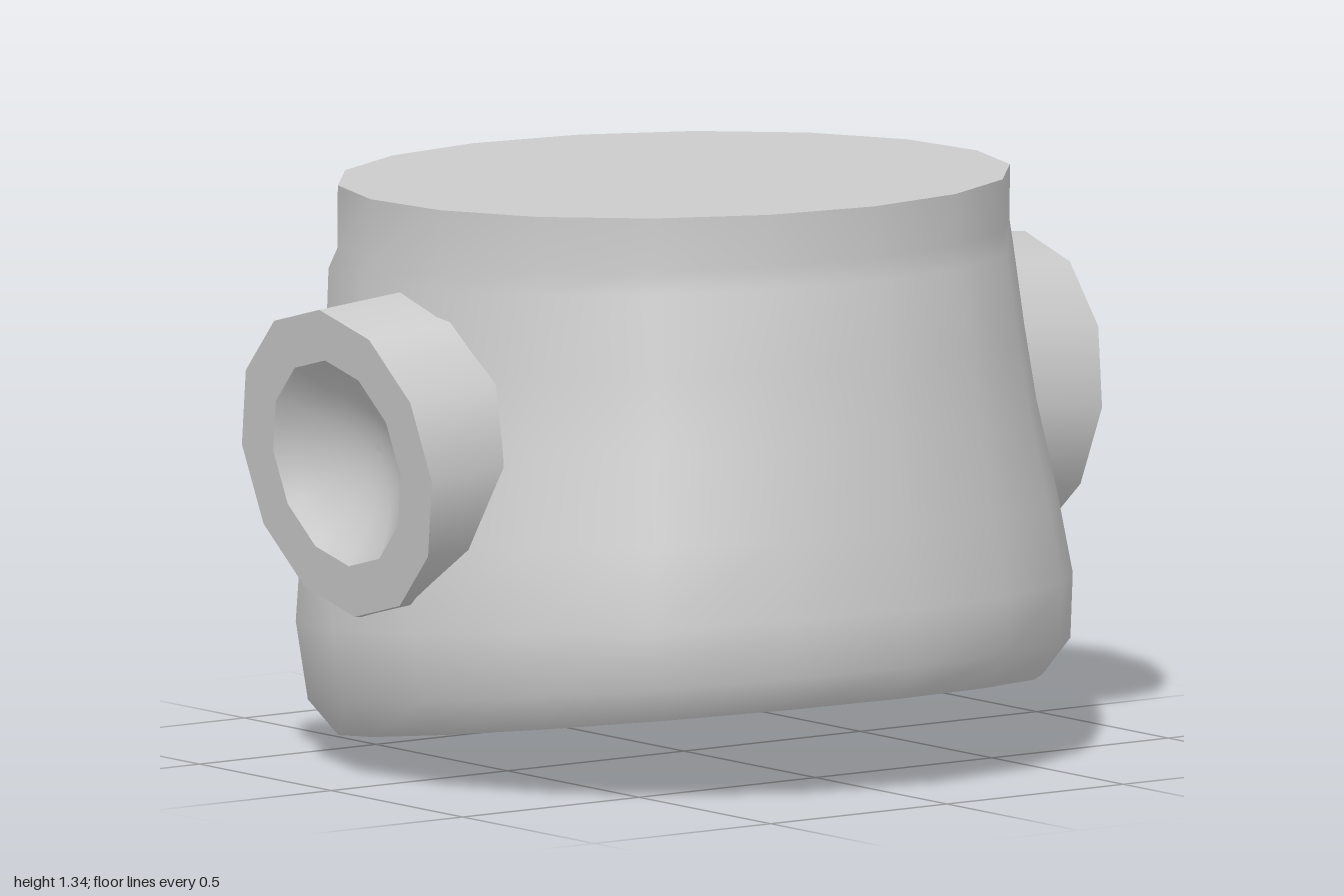
import * as THREE from 'three';

const SIDES = 18;

// Tilted body rings: [half width, front z, front y, back z, back y, flattened sides]
const RINGS = [
  [0.81, 0.82, 0.22, -0.77, 0.00],
  [0.88, 0.875, 0.30, -0.835, 0.085],
  [0.90, 0.865, 0.43, -0.862, 0.28],
  [0.868, 0.837, 0.61, -0.87, 0.50, true],
  [0.822, 0.80, 0.81, -0.86, 0.74, true],
  [0.797, 0.77, 0.98, -0.838, 0.92, true],
  [0.782, 0.735, 1.17, -0.835, 1.10],
  [0.772, 0.722, 1.22, -0.80, 1.15],
  [0.772, 0.724, 1.34, -0.80, 1.30],
];

function ringPoints([rx, zf, yf, zb, yb, flat]) {
  const pts = [];
  const edge = Math.sin(THREE.MathUtils.degToRad(80));
  for (let i = 0; i < SIDES; i++) {
    const a = (i / SIDES) * Math.PI * 2;
    let s = Math.sin(a), c = Math.cos(a);
    // behind the sockets the wall is drawn out to a flat pad
    if (flat && Math.abs(c) < 0.4) {
      s = Math.sign(s) * edge;
      c *= 1.15;
    }
    const t = (1 + c) / 2;
    pts.push([rx * s, yb + (yf - yb) * t, zb + (zf - zb) * t]);
  }
  return pts;
}

function makeGeometry(points, index) {
  const g = new THREE.BufferGeometry();
  g.setAttribute('position', new THREE.Float32BufferAttribute(points.flat(), 3));
  g.setIndex(index);
  g.computeVertexNormals();
  return g;
}

// Smooth wall through all the rings
function wallGeometry() {
  const index = [];
  for (let r = 0; r < RINGS.length - 1; r++) {
    for (let i = 0; i < SIDES; i++) {
      const j = (i + 1) % SIDES;
      const a = r * SIDES + i, b = r * SIDES + j;
      const c = b + SIDES, d = a + SIDES;
      index.push(a, b, c, a, c, d);
    }
  }
  return makeGeometry(RINGS.flatMap(ringPoints), index);
}

// Flat fan closing one ring
function capGeometry(ring, up) {
  const index = [];
  for (let i = 1; i < SIDES - 1; i++) index.push(0, up ? i : i + 1, up ? i + 1 : i);
  return makeGeometry(ringPoints(ring), index);
}

const lathe = (pts) => new THREE.LatheGeometry(pts.map(([r, y]) => new THREE.Vector2(r, y)), 12);

// Socket tube: a wedge, long at the top and short at the bottom, whose inner
// end is curved to sink into the sloping round wall
function tubeGeometry(radius) {
  const g = lathe([[radius, -1], [radius, 0]]);
  const p = g.attributes.position;
  for (let i = 0; i < p.count; i++) {
    if (p.getY(i) > -0.5) continue;
    const x = p.getX(i), z = p.getZ(i);
    p.setY(i, -0.155 + 0.28 * x - 0.55 * z * z);
    p.setX(i, x + 0.014);
  }
  return g;
}

export function createModel() {
  const model = new THREE.Group();
  model.name = 'socketedBody';
  const grey = new THREE.MeshStandardMaterial({ color: 0xcccccc });
  grey.name = 'lightGrey';

  const add = (parent, name, geometry) => {
    const mesh = new THREE.Mesh(geometry, grey);
    mesh.name = name;
    parent.add(mesh);
  };

  add(model, 'bodyWall', wallGeometry());
  add(model, 'bodyTop', capGeometry(RINGS[RINGS.length - 1], true));
  add(model, 'bodyBottom', capGeometry(RINGS[0], false));

  // Side sockets: faces tipped slightly downward, each with a round dish
  const radius = 0.361, rim = 0.242, depth = 0.12;
  const dish = [];
  for (let i = 0; i <= 10; i++) {
    const r = rim * (1 - i / 10);
    dish.push([r, -depth * (1 - (r / rim) ** 2)]);
  }
  const tube = tubeGeometry(radius);
  const face = lathe([[radius, 0], [rim, 0]]);
  const bowl = lathe(dish);

  for (const side of [1, -1]) {
    const socket = new THREE.Group();
    socket.name = side > 0 ? 'leftSocket' : 'rightSocket';
    add(socket, 'socketTube', tube);
    add(socket, 'socketFace', face);
    add(socket, 'socketDish', bowl);
    socket.position.set(side * 0.95, 0.742, -0.045);
    socket.rotation.set(0, side > 0 ? 0 : Math.PI, -THREE.MathUtils.degToRad(98));
    model.add(socket);
  }
  return model;
}
